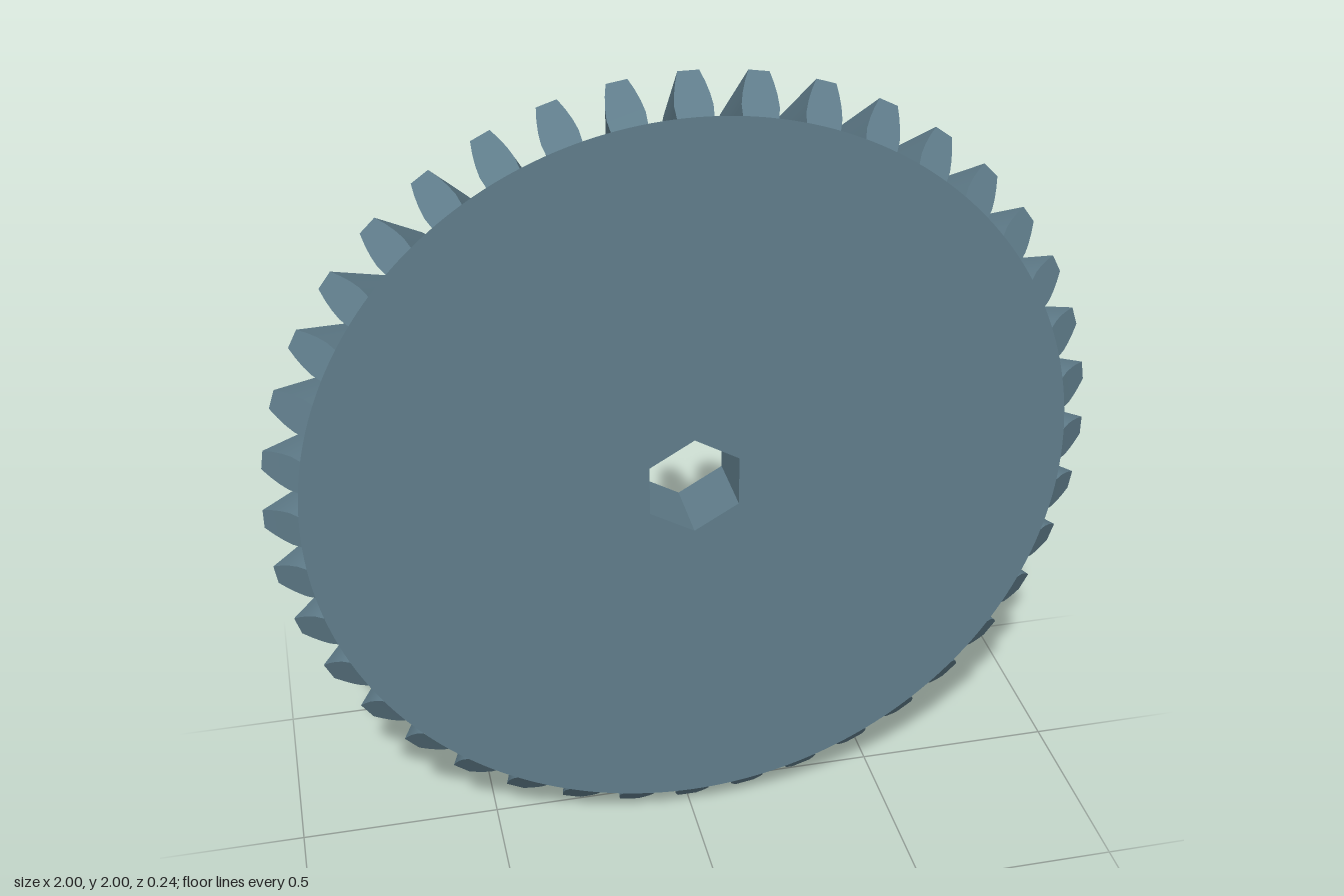
import * as THREE from 'three';
import { toCreasedNormals } from 'three/addons/utils/BufferGeometryUtils.js';

const TEETH = 40;
const APEX_Z = -0.955;              // all tooth lines converge on this point of the axis
const INNER = 0.835;                // scale of the small end relative to the large end
const ROOT = { r: 0.922, z: 0.12 }; // tooth root at the large end
const TIP = { r: 1.0, z: 0.045 };   // tooth tip at the large end
const HALF_WIDTHS = [0.041, 0.043, 0.0395, 0.033, 0.024]; // root to tip

// Shrinks a point toward the cone apex
const toApex = (p, s) =>
  new THREE.Vector3(p.x * s, p.y * s, APEX_Z + (p.z - APEX_Z) * s);

// Disc with a hexagonal bore; its rear rim is drawn in to form the root cone
function makeBody() {
  const shape = new THREE.Shape();
  shape.absarc(0, 0, ROOT.r, 0, Math.PI * 2, false);
  const bore = [];
  for (let i = 0; i < 6; i++) {
    const a = Math.PI / 2 - i * Math.PI / 3;
    bore.push(new THREE.Vector2(0.125 * Math.cos(a), 0.125 * Math.sin(a)));
  }
  shape.holes.push(new THREE.Path(bore));

  const backZ = APEX_Z + (ROOT.z - APEX_Z) * INNER;
  const geo = new THREE.ExtrudeGeometry(shape, {
    depth: ROOT.z - backZ, bevelEnabled: false, curveSegments: 120,
  });
  geo.translate(0, 0, backZ);
  const pos = geo.attributes.position;
  for (let i = 0; i < pos.count; i++) {
    const x = pos.getX(i), y = pos.getY(i);
    if (Math.hypot(x, y) > 0.5 && pos.getZ(i) < (ROOT.z + backZ) / 2) {
      pos.setXY(i, x * INNER, y * INNER);
    }
  }
  return toCreasedNormals(geo, 0.4);
}

// One straight bevel tooth pointing up, lofted from the large to the small end
function makeTooth() {
  const n = HALF_WIDTHS.length - 1;
  const side = (sign) => HALF_WIDTHS.map((w, i) => {
    const r = THREE.MathUtils.lerp(ROOT.r, TIP.r, i / n);
    const z = THREE.MathUtils.lerp(ROOT.z, TIP.z, i / n);
    const a = sign * w / r;
    return new THREE.Vector3(r * Math.sin(a), r * Math.cos(a), z);
  });
  const left = side(-1), right = side(1);
  const leftIn = left.map((p) => toApex(p, INNER));
  const rightIn = right.map((p) => toApex(p, INNER));

  const points = [];
  const quad = (a, b, c, d) => points.push(a, b, c, a, c, d);
  for (let i = 0; i < n; i++) {
    const j = i + 1;
    quad(left[i], right[i], right[j], left[j]);           // large end
    quad(rightIn[i], leftIn[i], leftIn[j], rightIn[j]);   // small end
    quad(right[i], rightIn[i], rightIn[j], right[j]);     // flank
    quad(leftIn[i], left[i], left[j], leftIn[j]);         // opposite flank
  }
  quad(left[n], right[n], rightIn[n], leftIn[n]);         // top land
  return toCreasedNormals(new THREE.BufferGeometry().setFromPoints(points), 0.35);
}

export function createModel() {
  const material = new THREE.MeshStandardMaterial({ color: 0x607d8b });
  const gear = new THREE.Group();
  gear.name = 'bevelGear';
  gear.position.y = 1;

  const body = new THREE.Mesh(makeBody(), material);
  body.name = 'gearBody';
  gear.add(body);

  // Ring of teeth
  const teeth = new THREE.Group();
  teeth.name = 'teeth';
  const toothGeometry = makeTooth();
  for (let i = 0; i < TEETH; i++) {
    const tooth = new THREE.Mesh(toothGeometry, material);
    tooth.name = `tooth${i + 1}`;
    tooth.rotation.z = (i / TEETH) * Math.PI * 2;
    teeth.add(tooth);
  }
  gear.add(teeth);

  const model = new THREE.Group();
  model.name = 'gearModel';
  model.add(gear);
  return model;
}
